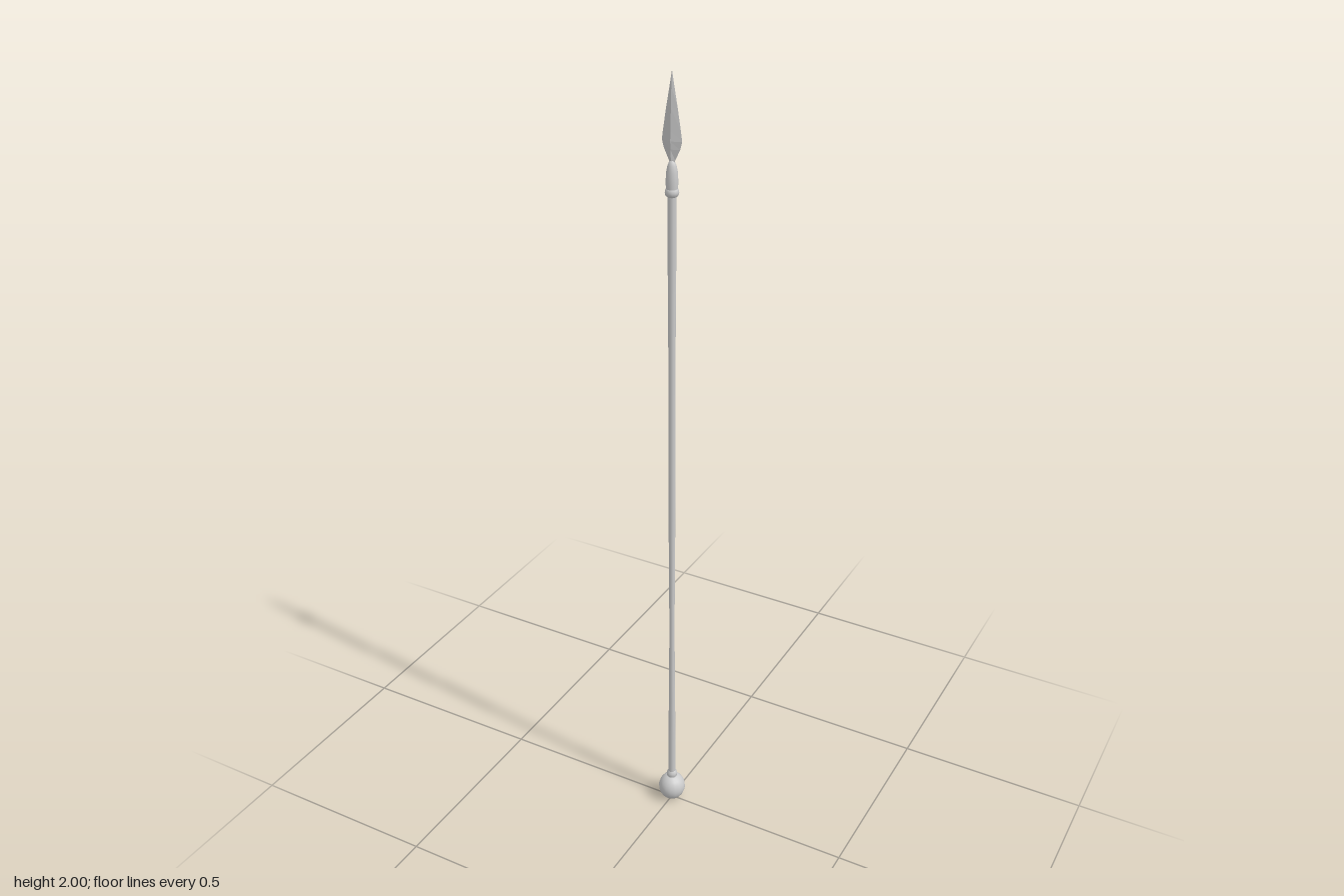
import * as THREE from 'three';

const material = new THREE.MeshStandardMaterial({ color: 0xcccccc });

function addMesh(group, name, geometry, mat = material) {
  const mesh = new THREE.Mesh(geometry, mat);
  mesh.name = name;
  group.add(mesh);
  return mesh;
}

// Turned part from [radius, height] pairs, bottom to top
function turned(points, sides) {
  return new THREE.LatheGeometry(points.map(([r, y]) => new THREE.Vector2(r, y)), sides);
}

// Leaf blade: diamond cross-sections [y, half width, half thickness]
function bladeGeometry(sections) {
  const positions = [];
  const ring = ([y, w, t]) => [[w, y, 0], [0, y, t], [-w, y, 0], [0, y, -t]];
  for (let i = 0; i < sections.length - 1; i++) {
    const low = ring(sections[i]);
    const high = ring(sections[i + 1]);
    for (let j = 0; j < 4; j++) {
      const k = (j + 1) % 4;
      positions.push(...low[j], ...high[j], ...high[k], ...low[j], ...high[k], ...low[k]);
    }
  }
  // Corners run clockwise seen from outside, so swap two of each triangle
  for (let i = 0; i < positions.length; i += 9) {
    const second = positions.slice(i + 3, i + 6);
    for (let c = 0; c < 3; c++) {
      positions[i + 3 + c] = positions[i + 6 + c];
      positions[i + 6 + c] = second[c];
    }
  }
  const geometry = new THREE.BufferGeometry();
  geometry.setAttribute('position', new THREE.Float32BufferAttribute(positions, 3));
  // Make the winding face outward whatever the ring direction
  const p = geometry.attributes.position;
  const [a, b, c] = [0, 1, 2].map((i) => new THREE.Vector3().fromBufferAttribute(p, i));
  const normal = b.clone().sub(a).cross(c.clone().sub(a));
  if (normal.x + normal.z < 0) {
    for (let i = 0; i < p.count; i += 3) {
      const u = new THREE.Vector3().fromBufferAttribute(p, i + 1);
      const v = new THREE.Vector3().fromBufferAttribute(p, i + 2);
      p.setXYZ(i + 1, v.x, v.y, v.z);
      p.setXYZ(i + 2, u.x, u.y, u.z);
    }
  }
  geometry.computeVertexNormals();
  return geometry;
}

export function createModel() {
  const group = new THREE.Group();
  group.name = 'spear';

  // Round counterweight at the foot
  const pommel = addMesh(group, 'pommel', new THREE.SphereGeometry(0.036, 16, 12));
  pommel.scale.y = 1.08;
  pommel.position.y = 0.039;

  // Small collar above the counterweight
  addMesh(group, 'pommelCollar', turned(
    [[0.009, 0.07], [0.014, 0.077], [0.014, 0.087], [0.009, 0.094]], 12));

  // Hand-cut shaft, slimmer toward the lower part
  addMesh(group, 'shaft', turned(
    [[0.01, 0.07], [0.01, 0.2], [0.008, 0.4], [0.007, 0.58], [0.008, 0.75],
      [0.009, 0.95], [0.009, 1.2], [0.009, 1.38], [0.01, 1.55], [0.01, 1.74]], 8));

  // Ring and tapering socket that hold the head
  addMesh(group, 'socketRing', turned(
    [[0.009, 1.722], [0.0145, 1.726], [0.016, 1.733], [0.0145, 1.74], [0.011, 1.743]], 12));
  addMesh(group, 'socket', turned(
    [[0.013, 1.738], [0.014, 1.755], [0.013, 1.778], [0.01, 1.793], [0.006, 1.803], [0, 1.806]], 12));

  // Leaf-shaped head with a raised central ridge
  addMesh(group, 'blade', bladeGeometry([
    [1.79, 0.004, 0.004], [1.805, 0.008, 0.005], [1.83, 0.02, 0.007], [1.848, 0.025, 0.008],
    [1.87, 0.022, 0.007], [1.92, 0.014, 0.005], [1.965, 0.006, 0.003], [2, 0, 0],
  ]));

  return group;
}
